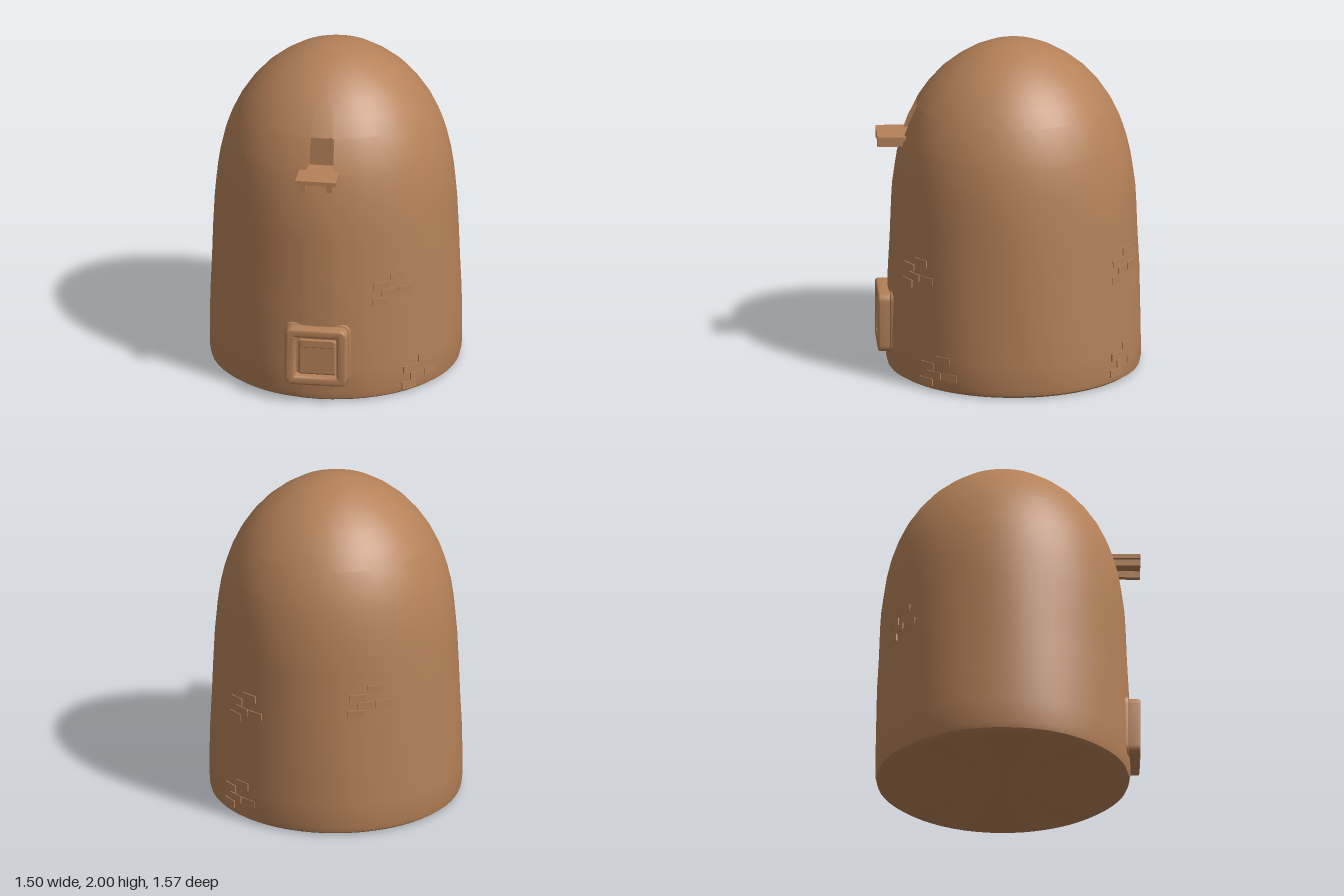
import * as THREE from 'three';
import { mergeVertices, toCreasedNormals } from 'three/addons/utils/BufferGeometryUtils.js';
import { RoundedBoxGeometry } from 'three/addons/geometries/RoundedBoxGeometry.js';

const CENTER_Z = -0.026;
const clay = new THREE.MeshStandardMaterial({ color: 0xb58158 });
clay.name = 'clay';

// wall profile: radius, height (close row pairs make the window edges)
const PROFILE = [
  [0, 0], [0.72, 0], [0.742, 0.015], [0.75, 0.05], [0.75, 0.2], [0.745, 0.4], [0.738, 0.6],
  [0.729, 0.8], [0.72, 1.0], [0.713, 1.1], [0.702, 1.2], [0.687, 1.3], [0.664, 1.4],
  [0.652, 1.44], [0.65, 1.446], [0.624, 1.52], [0.576, 1.62], [0.572, 1.627], [0.51, 1.72],
  [0.435, 1.805], [0.35, 1.875], [0.26, 1.932], [0.17, 1.972], [0.08, 1.993], [0, 2],
];

function wallRadius(y) {
  let i = 2;
  while (PROFILE[i + 1][1] < y) i++;
  const [r0, y0] = PROFILE[i], [r1, y1] = PROFILE[i + 1];
  return r0 + (r1 - r0) * (y - y0) / (y1 - y0);
}

function part(name, geometry, x = 0, y = 0, z = 0) {
  const mesh = new THREE.Mesh(geometry, clay);
  mesh.name = name;
  mesh.position.set(x, y, z);
  return mesh;
}

// domed wall with a recessed window pressed into the front
function domeGeometry() {
  const segments = 64;
  let geo = new THREE.LatheGeometry(PROFILE.map(p => new THREE.Vector2(...p)), segments, -Math.PI);
  const pos = geo.attributes.position;
  const rows = PROFILE.length;
  for (let i = 0; i < pos.count; i++) {
    const col = Math.floor(i / rows) - segments / 2;
    const [r, y] = PROFILE[i % rows];
    let phi = col * 2 * Math.PI / segments;
    // gather columns at the window jambs
    if (Math.abs(col) === 1) phi = Math.sign(col) * 0.116;
    if (Math.abs(col) === 2) phi = Math.sign(col) * 0.126;
    const wobble = y > 0 && y < 1.2 ? 0.003 * Math.sin(3 * phi + 7 * y) * Math.sin(5 * phi - 4 * y) : 0;
    const rr = r + wobble;
    let z = rr * Math.cos(phi) * 1.012 + CENTER_Z;
    if (Math.abs(col) <= 1 && y > 1.443 && y < 1.625) z = Math.min(z, 0.535);
    pos.setXYZ(i, rr * Math.sin(phi), y, z);
  }
  geo.deleteAttribute('uv');
  geo.deleteAttribute('normal');
  geo = mergeVertices(geo, 1e-4);
  return toCreasedNormals(geo, 0.6);
}

function roundedRect(path, w, h, r) {
  const x = w / 2, y = h / 2;
  path.moveTo(-x + r, -y);
  path.lineTo(x - r, -y);
  path.quadraticCurveTo(x, -y, x, -y + r);
  path.lineTo(x, y - r);
  path.quadraticCurveTo(x, y, x - r, y);
  path.lineTo(-x + r, y);
  path.quadraticCurveTo(-x, y, -x, y - r);
  path.lineTo(-x, -y + r);
  path.quadraticCurveTo(-x, -y, -x + r, -y);
  return path;
}

// square hatch with a rounded frame near the ground
function makeHatch() {
  const hatch = new THREE.Group();
  hatch.name = 'hatch';
  const outline = roundedRect(new THREE.Shape(), 0.34, 0.33, 0.03);
  outline.holes.push(roundedRect(new THREE.Path(), 0.28, 0.28, 0.015));
  const frame = new THREE.ExtrudeGeometry(outline, {
    depth: 0.11, bevelEnabled: true, bevelThickness: 0.015, bevelSize: 0.015, bevelSegments: 3, curveSegments: 5,
  });
  hatch.add(part('hatchFrame', toCreasedNormals(frame, 0.7), 0, 0.3, 0.665));
  hatch.add(part('hatchPanel', new RoundedBoxGeometry(0.225, 0.22, 0.05, 2, 0.012), 0.003, 0.285, 0.724));
  hatch.add(part('hatchRail', new RoundedBoxGeometry(0.2, 0.05, 0.02, 2, 0.006), 0.003, 0.375, 0.744));
  // soft clay flare where the frame meets the wall
  const flare = new THREE.ExtrudeGeometry(roundedRect(new THREE.Shape(), 0.36, 0.35, 0.04), {
    depth: 0.02, bevelEnabled: true, bevelThickness: 0.02, bevelSize: 0.02, bevelSegments: 2, curveSegments: 5,
  });
  hatch.add(part('hatchFlare', toCreasedNormals(flare, 0.7), 0, 0.3, 0.68));
  return hatch;
}

// ledge below the window on two bearers
function makeLedge() {
  const ledge = new THREE.Group();
  ledge.name = 'windowLedge';
  ledge.add(part('ledgeBoard', new THREE.BoxGeometry(0.245, 0.026, 0.2), 0, 1.433, 0.69));
  for (const side of [-1, 1]) {
    ledge.add(part('ledgeBearer', new THREE.BoxGeometry(0.035, 0.045, 0.19), side * 0.082, 1.4025, 0.695));
  }
  return ledge;
}

// patches of bricks showing slightly through the plaster: angle, height
function makeBricks() {
  const bricks = new THREE.Group();
  bricks.name = 'exposedBricks';
  const geo = new THREE.BoxGeometry(0.1, 0.045, 0.008);
  const layout = [[-0.04, -0.08], [0.02, -0.03], [0.13, -0.03], [-0.03, 0.02], [0.08, 0.07]];
  const patches = [[0.57, 0.7], [0.82, 0.13], [2.55, 0.72], [3.66, 0.85], [2.5, 0.15]];
  for (const [angle, height] of patches) {
    for (const [dx, dy] of layout) {
      const y = height + dy, r = wallRadius(y), phi = angle + dx / r;
      const brick = part('brick', geo, r * Math.sin(phi), y, r * Math.cos(phi) * 1.012 + CENTER_Z);
      brick.rotation.y = phi;
      bricks.add(brick);
    }
  }
  return bricks;
}

export function createModel() {
  const model = new THREE.Group();
  model.name = 'clayDomeHut';
  model.add(part('domeWall', domeGeometry()), makeHatch(), makeLedge(), makeBricks());
  return model;
}
